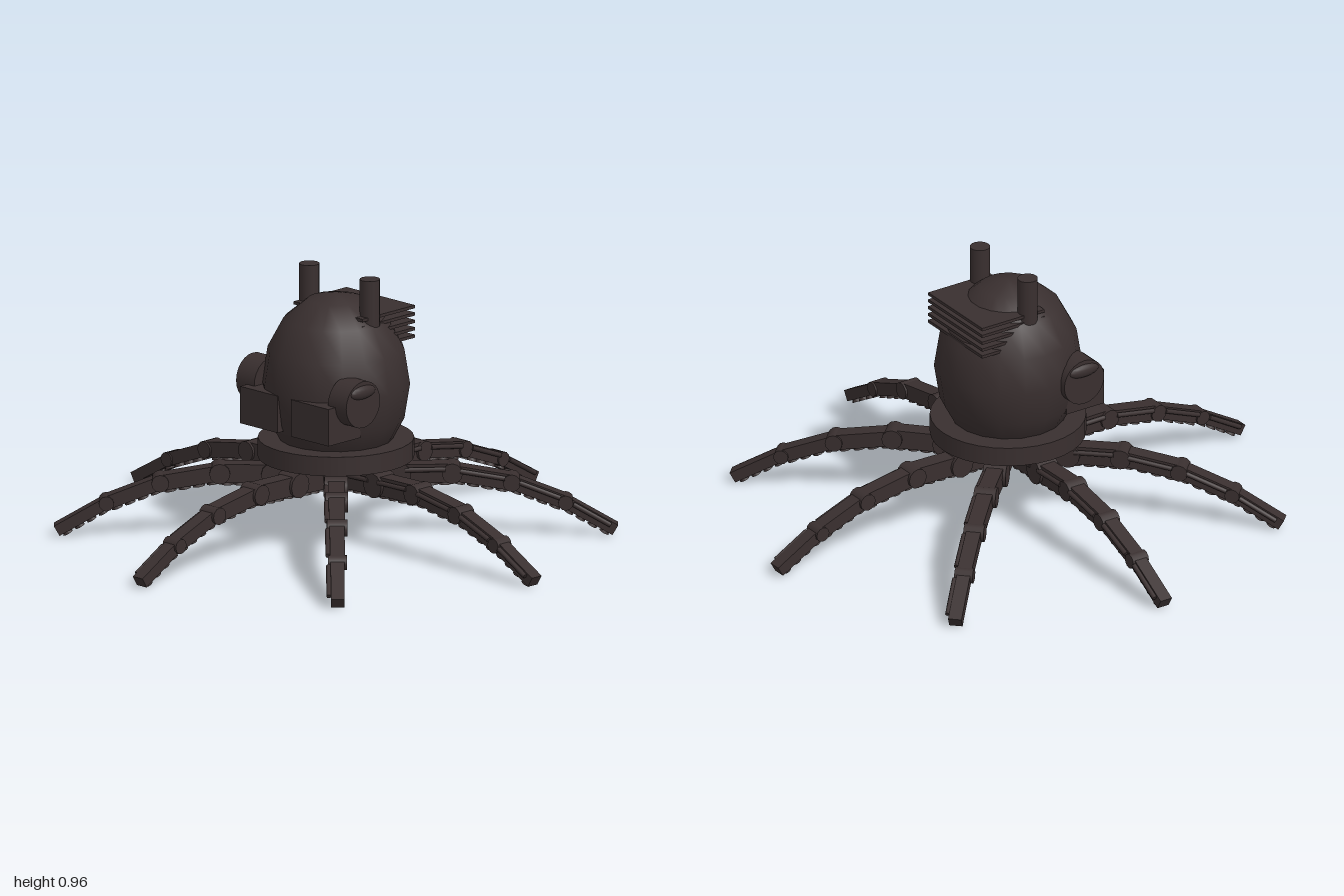
import * as THREE from 'three';

const shell = new THREE.MeshStandardMaterial({ color: 0x392f2f });
shell.name = 'dark brown metal';

function add(parent, name, geometry, x = 0, y = 0, z = 0) {
  const mesh = new THREE.Mesh(geometry, shell);
  mesh.name = name;
  mesh.position.set(x, y, z);
  parent.add(mesh);
  return mesh;
}

// Leg centreline: [distance from the middle, height, thickness, width] at each joint
const joints = [
  [0.05, 0.235, 0.085, 0.075],
  [0.22, 0.24, 0.08, 0.075],
  [0.41, 0.243, 0.066, 0.072],
  [0.62, 0.207, 0.056, 0.066],
  [0.81, 0.133, 0.048, 0.06],
  [0.985, 0.032, 0.04, 0.05],
];

// One leg pointing along +x: segments, knuckles, side pistons and suckers
function createLeg() {
  const leg = new THREE.Group();
  leg.name = 'leg';
  for (let i = 0; i < joints.length - 1; i++) {
    const [x0, y0, t, w] = joints[i];
    const [x1, y1] = joints[i + 1];
    const length = Math.hypot(x1 - x0, y1 - y0);
    const segment = new THREE.Group();
    segment.name = 'legSegment';
    segment.position.set((x0 + x1) / 2, (y0 + y1) / 2, 0);
    segment.rotation.z = Math.atan2(y1 - y0, x1 - x0);
    leg.add(segment);
    add(segment, 'segmentBeam', new THREE.BoxGeometry(length, t * 0.85, w * 0.8));
    const rod = new THREE.CylinderGeometry(0.009, 0.009, length * 0.75, 8).rotateZ(Math.PI / 2);
    add(segment, 'piston', rod, 0, t * 0.2, w * 0.4 + 0.007);
    for (let k = 0; k < 4; k++) {
      const sucker = new THREE.CylinderGeometry(w * 0.24, w * 0.32, 0.014, 10);
      add(segment, 'sucker', sucker, (k - 1.5) * length * 0.24, -t * 0.425 - 0.004, 0);
    }
    if (i > 0) {
      const knuckle = new THREE.CylinderGeometry(t * 0.56, t * 0.56, w * 1.1, 12).rotateX(Math.PI / 2);
      add(leg, 'knuckle', knuckle, x0, y0, 0);
    }
  }
  return leg;
}

export function createModel() {
  const model = new THREE.Group();
  model.name = 'eightLeggedMachine';

  // Egg-shaped body sitting in a round collar
  add(model, 'body', new THREE.SphereGeometry(0.262, 18, 8).scale(1, 1.26, 1), 0, 0.57, 0);
  add(model, 'collar', new THREE.CylinderGeometry(0.276, 0.276, 0.07, 32), 0, 0.335, 0);

  // Stacked cooling fins at the back
  for (let i = 0; i < 5; i++) {
    add(model, 'coolingFin', new THREE.BoxGeometry(0.34, 0.011, 0.265), 0, 0.834 - i * 0.027, -0.0925);
  }

  // Mirrored window boxes, side ports and chimneys
  for (const s of [-1, 1]) {
    add(model, 'windowBox', new THREE.BoxGeometry(0.186, 0.135, 0.16), s * 0.126, 0.495, 0.18);
    const port = new THREE.CylinderGeometry(0.085, 0.085, 0.09, 24).rotateZ(Math.PI / 2);
    add(model, 'sidePort', port, s * 0.228, 0.567, 0.14);
    const visor = new THREE.SphereGeometry(1, 18, 10).scale(0.02, 0.026, 0.065);
    add(model, 'portVisor', visor, s * 0.267, 0.612, 0.14);
    const chimney = new THREE.CylinderGeometry(0.036, 0.036, 0.17, 16);
    add(model, 'chimney', chimney, s * 0.15, 0.887, -0.018);
  }

  // Eight legs spread evenly around the body
  for (let i = 0; i < 8; i++) {
    const leg = createLeg();
    leg.rotation.y = (i * Math.PI) / 4;
    model.add(leg);
  }
  return model;
}
